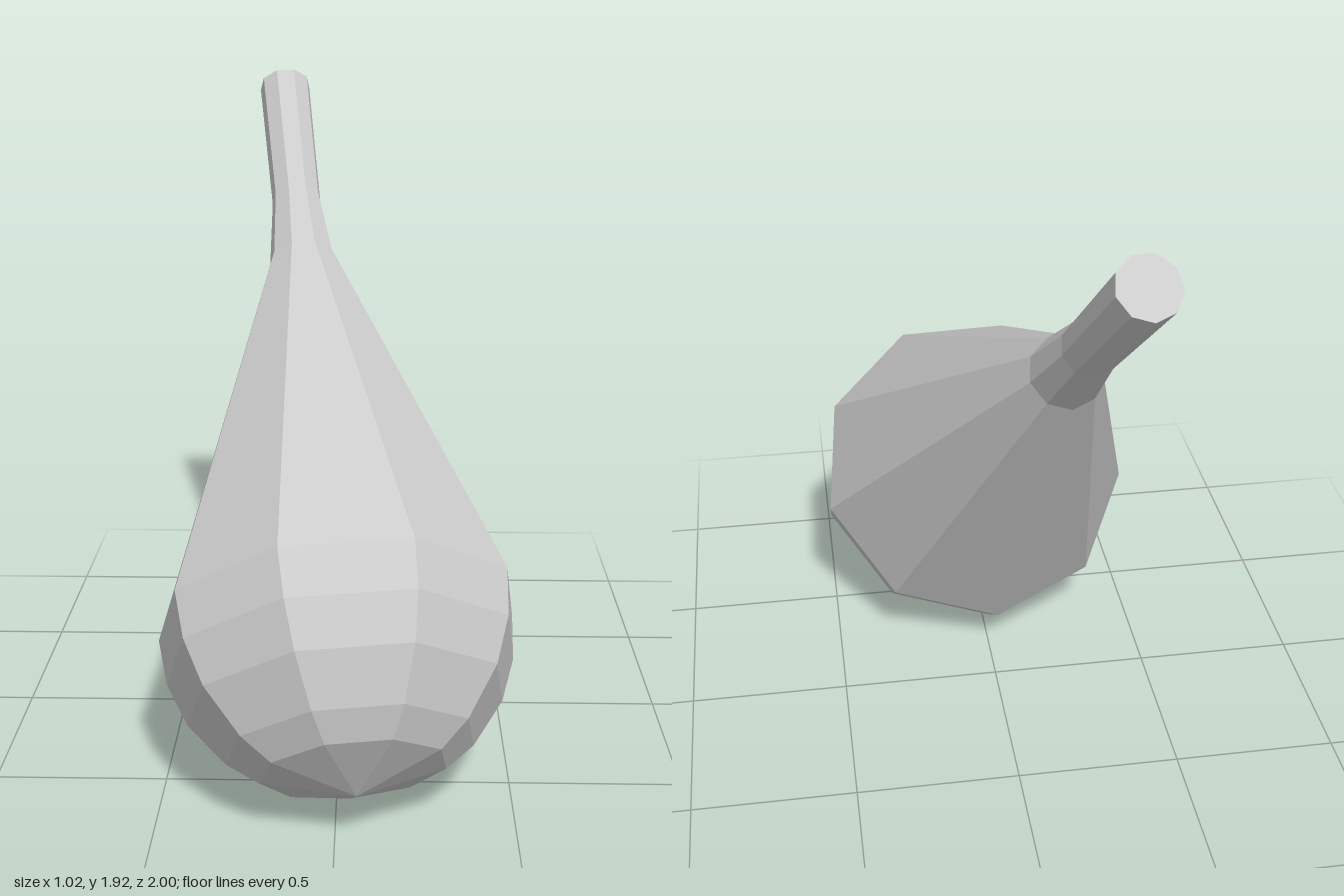
import * as THREE from 'three';

const SIDES = 9;
const RADIUS = 0.52;

// Faceted solid of revolution from [radius, height] pairs, bottom to top
function turned(name, profile) {
  const points = profile.map(([r, h]) => new THREE.Vector2(r, h));
  const material = new THREE.MeshStandardMaterial({ color: 0xcccccc, flatShading: true });
  const mesh = new THREE.Mesh(new THREE.LatheGeometry(points, SIDES), material);
  mesh.name = name;
  return mesh;
}

export function createModel() {
  const model = new THREE.Group();
  model.name = 'bulbWithNeck';

  // Round underside: rings at these latitudes below the widest ring
  const underside = [90, 60, 48, 30, 15, 0].map((deg) => {
    const a = THREE.MathUtils.degToRad(deg);
    return [deg === 90 ? 0 : RADIUS * Math.cos(a), -RADIUS * Math.sin(a)];
  });

  // Bulb with its straight taper, then the slim neck closed by a flat end
  model.add(turned('bulb', [...underside, [0.106, 1.235]]));
  model.add(turned('neck', [[0.106, 1.235], [0.08, 1.476], [0.085, 1.97], [0, 1.97]]));

  // Lean the whole body along its axis, with one facet corner pointing down
  const axis = new THREE.Vector3(-0.11, 0.683, -0.723).normalize();
  const corner = new THREE.Vector3(-0.03, -0.385, -0.354);
  const side = new THREE.Vector3().crossVectors(axis, corner).normalize();
  corner.crossVectors(side, axis);
  model.quaternion.setFromRotationMatrix(new THREE.Matrix4().makeBasis(side, axis, corner));
  model.position.set(0.003, 0.525, 0.484);

  const root = new THREE.Group();
  root.name = 'model';
  root.add(model);
  return root;
}
